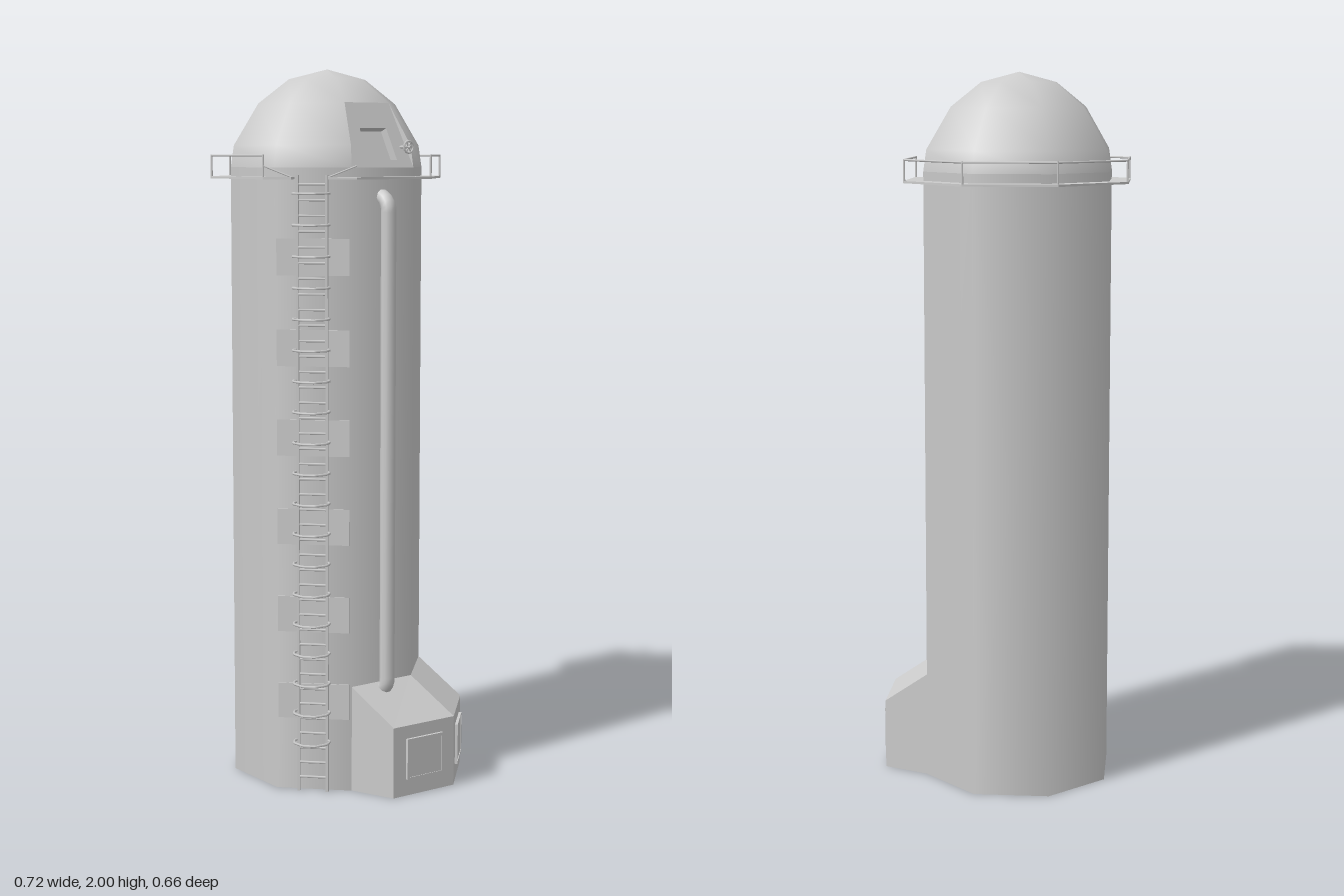
import * as THREE from 'three';

const RAD = Math.PI / 180;
const START = 29.3 * RAD;          // heading of the first corner
const STEP = Math.PI / 4;
const R = 0.276;                   // corner radius of the tower
const APO = R * Math.cos(STEP / 2); // distance to a flat side
const SIDE = R * Math.sin(STEP / 2); // half width of a flat side
const grey = new THREE.MeshStandardMaterial({ color: 0xcccccc });
const flat = new THREE.MeshStandardMaterial({ color: 0xcccccc, flatShading: true, side: THREE.DoubleSide });
const V = (x, y, z) => new THREE.Vector3(x, y, z);

function add(parent, name, geo, x = 0, y = 0, z = 0, mat = grey) {
  const m = new THREE.Mesh(geo, mat);
  m.name = name;
  m.position.set(x, y, z);
  parent.add(m);
  return m;
}
function box(parent, name, w, h, d, x, y, z) {
  return add(parent, name, new THREE.BoxGeometry(w, h, d), x, y, z);
}
function bar(parent, name, a, b, r) {
  const m = add(parent, name, new THREE.CylinderGeometry(r, r, a.distanceTo(b), 6));
  m.position.copy(a).lerp(b, 0.5);
  m.quaternion.setFromUnitVectors(V(0, 1, 0), b.clone().sub(a).normalize());
}
// Group whose +z points out of flat side k
function sideGroup(parent, name, k) {
  const g = new THREE.Group();
  g.name = name;
  g.rotation.y = START + (k + 0.5) * STEP;
  parent.add(g);
  return g;
}
const corner = (r, k, y) => V(r * Math.sin(START + k * STEP), y, r * Math.cos(START + k * STEP));
const onSide = (k, x, y, z) => V(x, y, z).applyAxisAngle(V(0, 1, 0), START + (k + 0.5) * STEP);

function quads(list) {
  const pos = [];
  for (const [a, b, c, d] of list) for (const p of d ? [a, b, c, a, c, d] : [a, b, c]) pos.push(p.x, p.y, p.z);
  const g = new THREE.BufferGeometry();
  g.setAttribute('position', new THREE.Float32BufferAttribute(pos, 3));
  g.computeVertexNormals();
  return g;
}

function buildDome(root) {
  const pts = [[R, 1.73], [0.267, 1.79], [0.197, 1.905], [0.11, 1.972], [0, 2]].map(p => new THREE.Vector2(...p));
  const geo = new THREE.LatheGeometry(pts, 8, START, Math.PI * 2);
  // leave out the two lower faces of the first sector for the hatch panel
  geo.setIndex(Array.from(geo.index.array).slice(12));
  add(root, 'dome', geo);

  // small cheeks beside the flat panel
  add(root, 'panelCheeks', quads([0, 1].map(k =>
    [corner(R, k, 1.73), corner(0.267, k, 1.79), corner(0.197, k, 1.905)])), 0, 0, 0, flat);

  // leaning panel with a recessed hatch
  const lean = (R - 0.197) * Math.cos(STEP / 2), rise = 0.175, len = Math.hypot(lean, rise);
  const top = 0.197 * Math.sin(STEP / 2);
  const side = sideGroup(root, 'hatchPanel', 0);
  const g = new THREE.Group();
  g.name = 'leaningPanel';
  g.position.set(0, 1.73, APO);
  g.rotation.x = -Math.atan2(lean, rise);
  side.add(g);
  const panel = new THREE.Shape([[-SIDE, 0], [SIDE, 0], [top, len], [-top, len]].map(p => new THREE.Vector2(...p)));
  const hole = [[-0.055, 0.022], [0.055, 0.022], [0.045, 0.115], [-0.045, 0.115]];
  panel.holes.push(new THREE.Path(hole.map(p => new THREE.Vector2(...p))));
  add(g, 'panel', new THREE.ShapeGeometry(panel), 0, 0, 0, flat);
  const D = -0.025;
  const walls = hole.map((p, i) => {
    const q = hole[(i + 1) % 4];
    return [V(...p, 0), V(...q, 0), V(...q, D), V(...p, D)];
  });
  walls.push(hole.map(p => V(...p, D)));
  add(g, 'hatchRecess', quads(walls), 0, 0, 0, flat);

  // hand wheel beside the hatch
  const w = new THREE.Group();
  w.name = 'handWheel';
  w.position.set(0.079, 1.785, APO + 0.012);
  side.add(w);
  add(w, 'wheelRim', new THREE.TorusGeometry(0.016, 0.003, 6, 12));
  for (let i = 0; i < 3; i++) box(w, 'spoke', 0.032, 0.003, 0.003, 0, 0, 0).rotation.z = i * Math.PI / 3;
  bar(w, 'wheelShaft', V(0, 0, 0.01), V(0, 0, -0.035), 0.004);
}

function buildWalkway(root) {
  const RO = 0.333, y = 1.705, AO = RO * Math.cos(STEP / 2);
  const ring = r => Array.from({ length: 8 }, (_, k) => corner(r, k, 0));
  // C-shaped floor, open at the ladder (side 7)
  const outline = [onSide(7, 0.05, 0, AO), ...ring(RO), onSide(7, -0.05, 0, AO),
    onSide(7, -0.05, 0, APO - 0.005), ...ring(R - 0.005).reverse(), onSide(7, 0.05, 0, APO - 0.005)];
  const shape = new THREE.Shape(outline.map(p => new THREE.Vector2(p.x, p.z)));
  const geo = new THREE.ExtrudeGeometry(shape, { depth: 0.006, bevelEnabled: false });
  geo.rotateX(Math.PI / 2);
  add(root, 'walkwayFloor', geo, 0, y, 0);

  // handrail round the back, from one side of the ladder to the hatch side
  const r = RO - 0.003;
  for (let k = 1; k <= 7; k++) {
    bar(root, 'railPost', corner(r, k, y - 0.006), corner(r, k, 1.765), 0.003);
    if (k < 7) bar(root, 'handrail', corner(r, k, 1.762), corner(r, k + 1, 1.762), 0.003);
  }
  // sloping bars down to the ladder opening
  bar(root, 'slopingRail', corner(r, 7, 1.735), onSide(7, -0.05, y, AO - 0.003), 0.0025);
  bar(root, 'slopingRail', corner(r, 8, 1.735), onSide(7, 0.05, y, AO - 0.003), 0.0025);
}

function buildLadder(root) {
  const g = sideGroup(root, 'ladder', 7);
  for (const s of [-1, 1]) box(g, 'ladderStringer', 0.007, 1.71, 0.012, s * 0.04, 0.855, APO + 0.015);
  for (let i = 0; i < 40; i++) bar(g, 'rung', V(-0.04, 0.04 + i * 0.0422, APO + 0.015), V(0.04, 0.04 + i * 0.0422, APO + 0.015), 0.0035);
  // safety hoops
  const hoop = [[-0.04, 0.01], [-0.05, 0.03], [-0.046, 0.055], [-0.018, 0.08],
    [0.018, 0.08], [0.046, 0.055], [0.05, 0.03], [0.04, 0.01]];
  const path = new THREE.CurvePath();
  for (let i = 1; i < hoop.length; i++) {
    const [a, b] = [hoop[i - 1], hoop[i]].map(p => V(p[0], 0, APO + p[1]));
    path.add(new THREE.LineCurve3(a, b));
  }
  const hoopGeo = new THREE.TubeGeometry(path, 28, 0.0035, 5);
  for (let i = 0; i < 19; i++) add(g, 'safetyHoop', hoopGeo, 0, 0.148 + i * 0.0841, 0);
  // wall plates behind the ladder
  for (let i = 0; i < 6; i++) box(g, 'wallPlate', 0.2, 0.1, 0.008, 0, 0.255 + i * 0.247, APO);
}

function buildAnnex(root) {
  // footprint corners: inner against the tower, outer away from it
  const inner = [corner(R - 0.002, 0, 0), corner(R - 0.002, 1, 0), corner(R - 0.002, 2, 0)];
  const outer = [V(0.265, 0, 0.275), V(0.4, 0, 0.115), V(0.375, 0, -0.095)];
  const up = (p, y) => V(p.x, y, p.z);
  const faces = [];
  for (let i = 0; i < 2; i++) {
    const [a, b, c, d] = [outer[i], outer[i + 1], inner[i + 1], inner[i]];
    faces.push([a, b, up(b, 0.2), up(a, 0.2)]);
    faces.push([up(a, 0.2), up(b, 0.2), up(c, 0.3), up(d, 0.3)]);
    faces.push([d, c, b, a]);
  }
  faces.push([inner[0], outer[0], up(outer[0], 0.2), up(inner[0], 0.3)]);
  faces.push([outer[2], inner[2], up(inner[2], 0.3), up(outer[2], 0.2)]);
  add(root, 'annex', quads(faces), 0, 0, 0, flat);

  // framed service doors on both outer walls
  for (let i = 0; i < 2; i++) {
    const a = outer[i], b = outer[i + 1];
    const g = new THREE.Group();
    g.name = 'serviceDoor';
    g.position.copy(a).lerp(b, 0.5).setY(0.105);
    g.rotation.y = Math.atan2(a.z - b.z, b.x - a.x);
    root.add(g);
    box(g, 'doorLeaf', 0.124, 0.116, 0.012, 0, 0, 0);
    for (const s of [-1, 1]) {
      box(g, 'doorFrame', 0.006, 0.116, 0.016, s * 0.059, 0, 0);
      box(g, 'doorFrame', 0.124, 0.006, 0.016, 0, s * 0.055, 0);
    }
  }
}

export function createModel() {
  const model = new THREE.Group();
  model.name = 'silo';
  const root = new THREE.Group();
  root.name = 'tower';
  root.position.set(-0.04, 0, -0.005);
  model.add(root);

  add(root, 'towerWall', new THREE.CylinderGeometry(R, R, 1.73, 8, 1, false, START), 0, 0.865, 0);
  buildDome(root);
  buildWalkway(root);
  buildLadder(root);
  buildAnnex(root);

  // filling pipe, bent into the wall at both ends
  const pipe = sideGroup(root, 'fillingPipe', 0);
  const path = new THREE.CurvePath();
  const zs = APO + 0.026;
  const p = [V(0, 0.27, APO - 0.02), V(0, 0.28, zs), V(0, 0.31, zs), V(0, 1.62, zs), V(0, 1.65, zs - 0.006), V(0, 1.655, APO - 0.02)];
  path.add(new THREE.QuadraticBezierCurve3(p[0], p[1], p[2]));
  path.add(new THREE.LineCurve3(p[2], p[3]));
  path.add(new THREE.QuadraticBezierCurve3(p[3], p[4], p[5]));
  add(pipe, 'pipe', new THREE.TubeGeometry(path, 120, 0.021, 10));
  return model;
}
